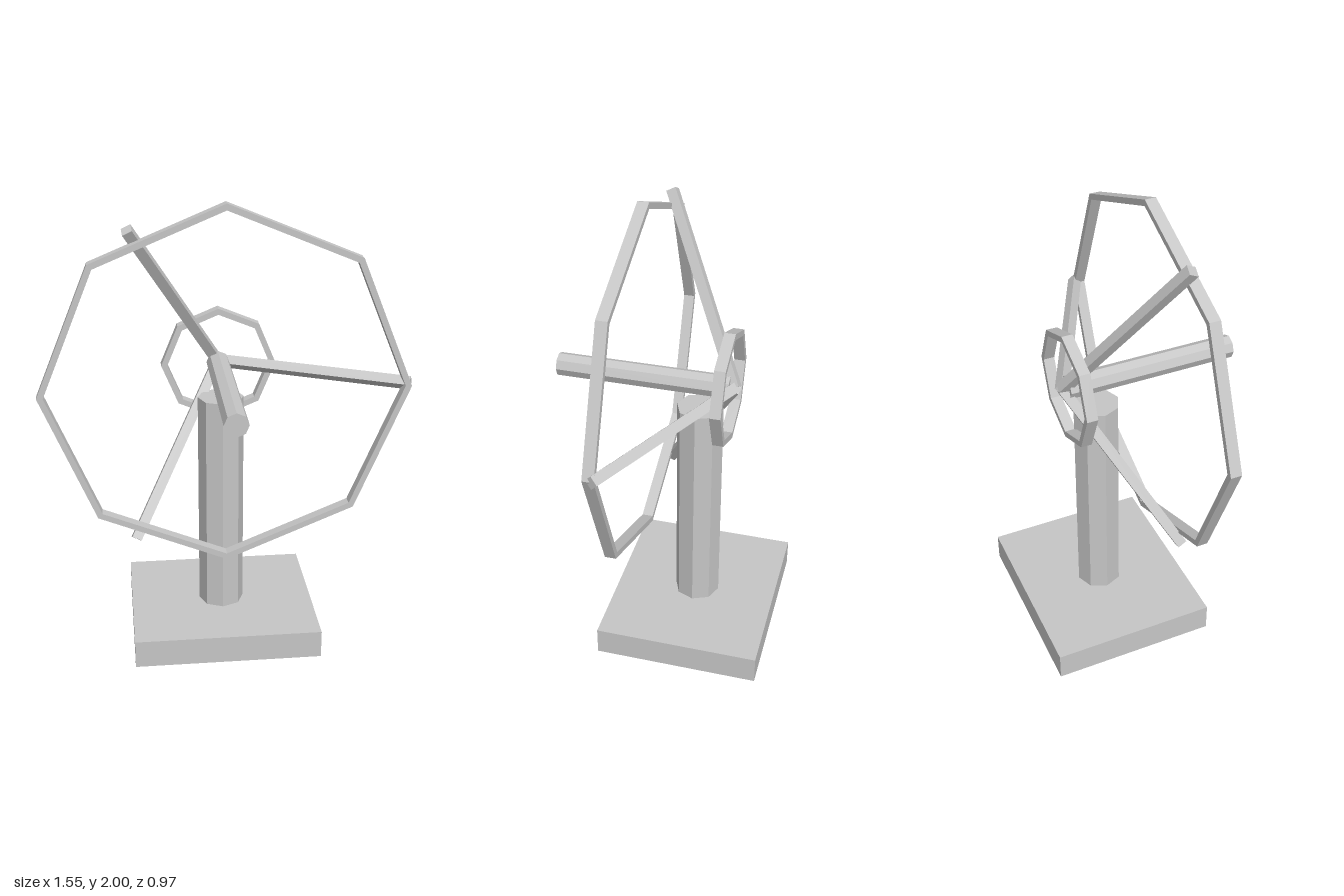
import * as THREE from 'three';

const AXIS_X = -0.01, AXIS_Y = 1.23, BASE_Z = -0.13;

export function createModel() {
  const model = new THREE.Group();
  model.name = 'dish';
  const grey = new THREE.MeshStandardMaterial({ color: 0xc6c6c6, flatShading: true });
  grey.name = 'light grey';

  const add = (name, geometry, x, y, z) => {
    const mesh = new THREE.Mesh(geometry, grey);
    mesh.name = name;
    mesh.position.set(x, y, z);
    model.add(mesh);
    return mesh;
  };

  // Slab and octagonal column
  add('base', new THREE.BoxGeometry(0.82, 0.125, 0.715), AXIS_X, 0.0625, BASE_Z);
  add('column', new THREE.CylinderGeometry(0.1, 0.1, 0.99, 8), AXIS_X, 0.62, BASE_Z);

  // Central rod pointing forward
  const rod = new THREE.CylinderGeometry(0.05, 0.05, 0.74, 8).rotateX(Math.PI / 2);
  add('rod', rod, AXIS_X, AXIS_Y, 0.115);

  // Octagonal rings with a rectangular section
  const octagon = (radius) => Array.from({ length: 8 }, (_, i) => {
    const a = (i * Math.PI) / 4;
    return new THREE.Vector2(radius * Math.cos(a), radius * Math.sin(a));
  });
  const ring = (name, radius, z) => {
    const shape = new THREE.Shape(octagon(radius));
    shape.holes.push(new THREE.Path(octagon(radius - 0.027)));
    const geometry = new THREE.ExtrudeGeometry(shape, { depth: 0.047, bevelEnabled: false });
    add(name, geometry, AXIS_X, AXIS_Y, z);
  };
  ring('outerRing', 0.77, 0.083);
  ring('innerRing', 0.25, -0.27);

  // Three square spokes spreading forward from the hub
  const hub = new THREE.Vector3(AXIS_X, AXIS_Y, -0.276);
  for (let i = 0; i < 3; i++) {
    const a = (i * 2 * Math.PI) / 3;
    const tip = new THREE.Vector3(AXIS_X + 0.772 * Math.cos(a), AXIS_Y + 0.772 * Math.sin(a), 0.093);
    const middle = hub.clone().lerp(tip, 0.5);
    const geometry = new THREE.CylinderGeometry(0.03, 0.03, hub.distanceTo(tip), 4).rotateX(Math.PI / 2);
    add('spoke' + (i + 1), geometry, middle.x, middle.y, middle.z).lookAt(tip);
  }

  return model;
}
